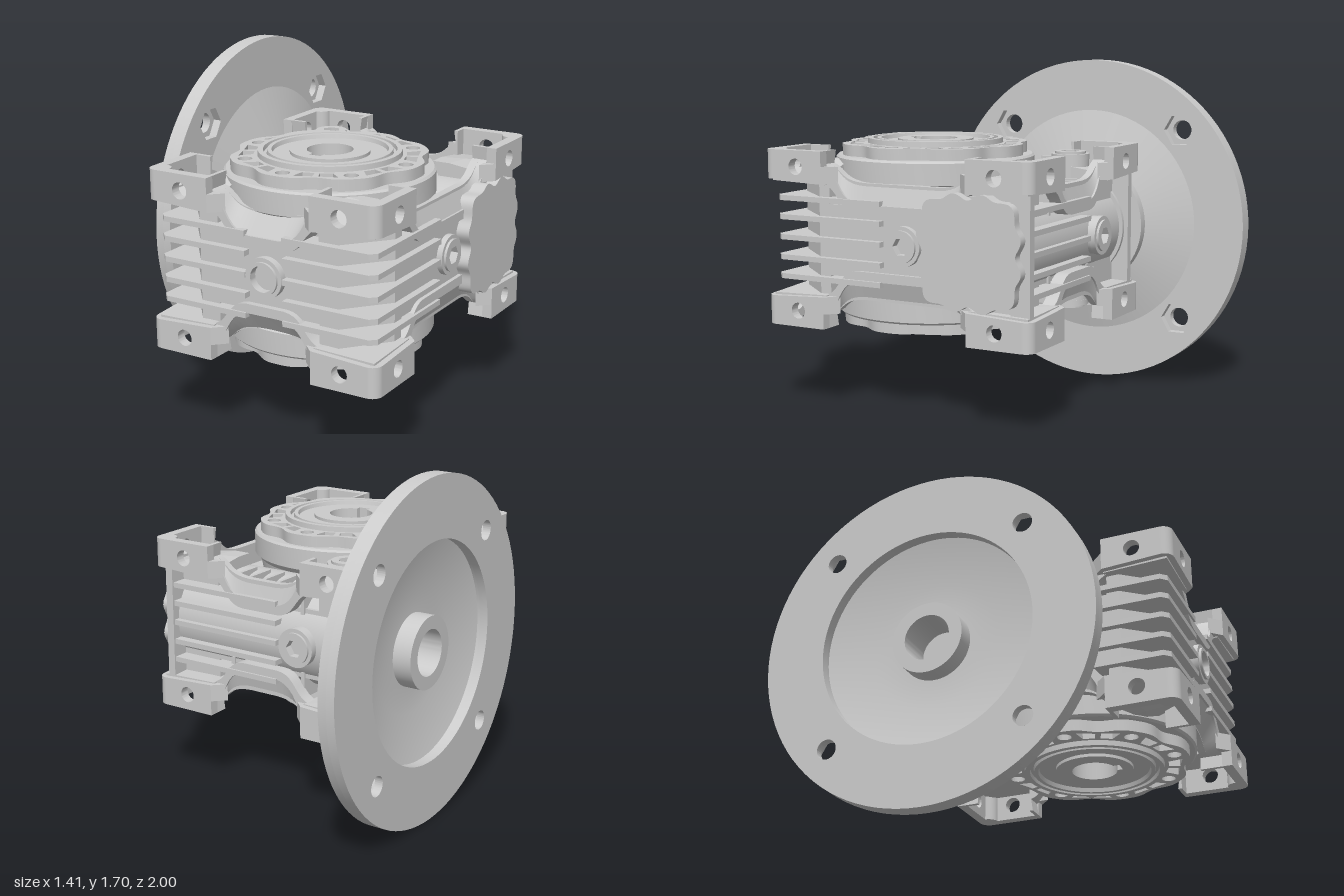
import * as THREE from 'three';
import { toCreasedNormals } from 'three/addons/utils/BufferGeometryUtils.js';
import { ConvexGeometry } from 'three/addons/geometries/ConvexGeometry.js';

const grey = new THREE.MeshStandardMaterial({ color: 0xcccccc });
const greyThin = new THREE.MeshStandardMaterial({ color: 0xcccccc, side: THREE.DoubleSide });
const V = (x, y, z) => new THREE.Vector3(x, y, z);
const poly = (pts) => new THREE.Shape(pts.map(([x, y]) => new THREE.Vector2(x, y)));
const circle = (x, y, r) => new THREE.Shape().absarc(x, y, r, 0, Math.PI * 2, false);
const hexagon = (x, y, r) => poly([0, 1, 2, 3, 4, 5].map((i) =>
  [x + r * Math.cos(i * Math.PI / 3), y + r * Math.sin(i * Math.PI / 3)]));
// closed outline from a radius rule
const wavy = (x, y, n, rule) => poly(Array.from({ length: n }, (_, i) => {
  const a = (i / n) * Math.PI * 2;
  return [x + rule(a) * Math.cos(a), y + rule(a) * Math.sin(a)];
}));
const bezier = (...p) =>
  new THREE.CubicBezierCurve(...p.map(([x, y]) => new THREE.Vector2(x, y))).getPoints(10).map((q) => [q.x, q.y]);

const extrude = (shape, depth) =>
  toCreasedNormals(new THREE.ExtrudeGeometry(shape, { depth, bevelEnabled: false, curveSegments: 20 }), 0.5);
// shape in (x, y), from z0 to z1
const alongZ = (shape, z0, z1) => extrude(shape, z1 - z0).translate(0, 0, z0);
// shape in (x, z), from y0 to y1
const alongY = (shape, y0, y1) => extrude(shape, y1 - y0).rotateX(Math.PI / 2).translate(0, y1, 0);
// shape in (z, y), from x0 to x1
const alongX = (shape, x0, x1) => extrude(shape, x1 - x0).rotateY(-Math.PI / 2).translate(x1, 0, 0);
const lathe = (pts) =>
  toCreasedNormals(new THREE.LatheGeometry(pts.map(([r, y]) => new THREE.Vector2(r, y)), 72), 0.5);

// Half of the dipping edge between two pads, from the pad to the flat middle
const dipEdge = (i, level) => bezier([i + 0.01, 0.37], [i - 0.06, 0.35], [i - 0.05, level + 0.005], [i - 0.19, level]);
const mirrored = (pts, sy) => {
  const half = pts.map(([x, y]) => [x, sy * y]);
  return [...half, ...half.map(([x, y]) => [-x, y]).reverse()];
};
// Dipped band whose upper edge has the given level in the middle
const dipBand = (i, sy, level) => poly(mirrored([
  ...bezier([i - 0.17, 0.14], [i - 0.06, 0.145], [i - 0.07, 0.25], [i + 0.02, 0.275]),
  [i + 0.02, 0.435], [i, 0.435], ...dipEdge(i, level)], sy));
// Sloping floor from the outer lip up to the inner web
const dipFloor = (i, sy, outer, inner, place) => {
  const low = mirrored(dipEdge(i, 0.183), sy);
  const high = mirrored(dipEdge(i, 0.285), sy);
  const pos = [];
  const index = [];
  low.forEach(([u, y], k) => {
    pos.push(...place(u, y, outer), ...place(high[k][0], high[k][1], inner));
    if (k) index.push(2 * k - 2, 2 * k - 1, 2 * k, 2 * k - 1, 2 * k + 1, 2 * k);
  });
  const g = new THREE.BufferGeometry();
  g.setAttribute('position', new THREE.Float32BufferAttribute(pos, 3));
  g.setIndex(index);
  g.computeVertexNormals();
  return g;
};

export function createModel() {
  const model = new THREE.Group();
  const box = new THREE.Group();
  box.name = 'gearbox';
  box.position.set(0.095, 0.85, 0.26);
  model.add(box);
  const add = (name, geometry, material = grey) => {
    const mesh = new THREE.Mesh(geometry, material);
    mesh.name = name;
    box.add(mesh);
    return mesh;
  };
  const WZ = -0.41; // worm axis
  const HZ = 0.125; // wheel axis

  // Housing core, open around the wheel
  const core = poly([[-0.37, 0.66], [0.37, 0.66], [0.54, 0.46], [0.54, -0.62], [-0.54, -0.62], [-0.54, 0.46]]);
  core.holes.push(circle(0, HZ, 0.4));
  add('housingCore', alongY(core, -0.175, 0.175));
  for (const s of [-1, 1]) {
    add('frontCornerColumn', alongY(poly([[s * 0.27, 0.66], [s * 0.37, 0.66], [s * 0.54, 0.46],
      [s * 0.54, 0.4], [s * 0.4, 0.4], [s * 0.27, 0.55]]), -0.28, 0.28));
    add('backCornerColumn', alongY(poly([[s * 0.3, -0.62], [s * 0.54, -0.62], [s * 0.54, -0.4], [s * 0.3, -0.4]]), -0.28, 0.28));
    add('backCornerPost', new THREE.BoxGeometry(0.04, 0.56, 0.1).translate(s * 0.54, 0, -0.66));
  }

  // Mounting pads: drilled walls with a rounded corner, joined by dipped bands
  const padWall = (s, U, sy) => {
    const i = U - 0.34;
    const shape = poly([[s * (U - 0.05), sy * 0.435], [s * i, sy * 0.435], [s * i, sy * 0.275], [s * (U - 0.05), sy * 0.29]]);
    shape.holes.push(circle(s * (U - 0.19), sy * 0.355, 0.04));
    return shape;
  };
  for (const sy of [-1, 1]) {
    const [low, high] = sy > 0 ? [0.275, 0.36] : [-0.36, -0.275];
    for (const s of [-1, 1]) {
      const range = (a, b) => (s > 0 ? [a, b] : [-b, -a]);
      const web = s > 0 ? 0.6 : 0.645; // the wheel sits closer to the front
      add('endLip', alongZ(dipBand(0.27, sy, 0.185), ...range(web, 0.69)));
      add('endWeb', alongZ(dipBand(0.27, sy, 0.285), ...range(web - 0.02, web + 0.015)));
      add('endDipFloor', dipFloor(0.27, sy, 0.68, web + 0.01, (u, y, d) => [u, y, s * d]), greyThin);
      add('sideLip', alongX(dipBand(0.4, sy, 0.185), ...range(0.48, 0.56)));
      add('sideWeb', alongX(dipBand(0.4, sy, 0.285), ...range(0.48, 0.52)));
      add('sideDipFloor', dipFloor(0.4, sy, 0.55, 0.515, (u, y, d) => [s * d, y, u]), greyThin);
      for (const t of [-1, 1]) {
        add('endPadWall', alongZ(padWall(t, 0.61, sy), ...range(0.69, 0.74)));
        add('sidePadWall', alongX(padWall(t, 0.74, sy), ...range(0.56, 0.61)));
        add('endPadFlank', alongY(poly([[t * 0.27, s * 0.74], [t * 0.27, s * 0.68], [t * 0.21, s * 0.68]]), low, high));
        add('sidePadFlank', alongY(poly([[s * 0.61, t * 0.4], [s * 0.55, t * 0.4], [s * 0.55, t * 0.34]]), low, high));
        add('padCorner', new THREE.CylinderGeometry(0.05, 0.05, 0.145, 24).translate(s * 0.56, sy * 0.3625, t * 0.69));
        // sloping floor, given as inward x, height, inward z
        const peak = t > 0 ? 0.38 : 0.33;
        const floor = [[0.03, 0.28, 0.03], [0.34, 0.27, 0.03], [0.03, 0.27, 0.34], [0.34, 0.27, 0.34],
          [0.03, 0.3, 0.03], [0.34, 0.3, 0.03], [0.03, 0.3, 0.34], [0.22, peak, 0.22], [0.34, peak, 0.25],
          [0.25, peak, 0.34], [0.34, peak, 0.34]];
        add('padFloor', new ConvexGeometry(floor.map(([a, y, b]) => V(s * (0.61 - a), sy * y, t * (0.74 - b)))));
      }
    }
  }

  // Cooling fins
  for (const y of [-0.195, -0.1, 0, 0.1, 0.195]) {
    for (const s of [-1, 1]) {
      add('wrapFin', alongY(poly([[s * 0.1, 0.7], [s * 0.545, 0.7], [s * 0.575, 0.67], [s * 0.575, 0.09],
        [s * 0.5, 0.09], [s * 0.5, 0.4], [s * 0.3, 0.6], [s * 0.1, 0.6]]), y - 0.013, y + 0.013));
    }
    add('backFin', new THREE.BoxGeometry(0.64, 0.026, 0.12).translate(0.22, y, -0.64));
  }
  for (const x of [-0.21, -0.13, -0.045, 0.04, 0.125, 0.21]) {
    for (const s of [-1, 1]) {
      add('wormRib', new THREE.BoxGeometry(0.02, 0.13, 0.2).translate(x, s * 0.21, -0.53));
    }
  }

  // Worm housing and scalloped end cover
  add('wormHousing', new THREE.CylinderGeometry(0.26, 0.26, 1.14, 64).rotateZ(Math.PI / 2).translate(-0.02, 0, WZ));
  add('endCover', alongX(wavy(WZ, 0, 144, (a) => 0.285 - 0.025 * Math.cos(4 * a) - 0.013 * Math.cos(12 * a)), 0.53, 0.605));

  // Wheel hub with a keyed bore
  const hub = [[0.185, 0.455], [0.27, 0.455], [0.275, 0.475], [0.295, 0.475], [0.298, 0.455], [0.312, 0.455],
    [0.315, 0.475], [0.34, 0.475], [0.345, 0.395], [0.49, 0.395], [0.5, 0.385], [0.5, 0.28], [0.47, 0.25], [0.45, 0.15]];
  add('wheelHub', lathe([...hub.map(([r, y]) => [r, -y]), ...hub.slice().reverse()])).position.z = HZ;
  const sleeve = circle(0, 0, 0.19);
  const bore = new THREE.Path();
  bore.absarc(0, 0, 0.11, Math.PI / 2 + 0.276, Math.PI * 2.5 - 0.276, false);
  bore.lineTo(0.03, 0.135);
  bore.lineTo(-0.03, 0.135);
  bore.closePath();
  sleeve.holes.push(bore);
  add('keyedSleeve', alongY(sleeve, -0.47, 0.47)).position.z = HZ;

  // Bolt rings with holes and pockets
  const ring = wavy(0, 0, 160, (a) => 0.457 + 0.018 * Math.cos(8 * a) - 0.005 * Math.cos(16 * a));
  ring.holes.push(circle(0, 0, 0.335));
  for (let k = 0; k < 8; k++) {
    const a = k * Math.PI / 4;
    ring.holes.push(circle(0.405 * Math.cos(a), 0.405 * Math.sin(a), 0.034));
    for (const t of [-1, 1]) {
      const corners = [[0.36, 0.2], [0.36, 0.36], [0.415, 0.36], [0.43, 0.15]];
      ring.holes.push(poly(corners.map(([r, b]) => [r * Math.cos(a + t * b), r * Math.sin(a + t * b)])));
    }
  }
  add('topBoltRing', alongY(ring, 0.39, 0.45)).position.z = HZ;
  add('bottomBoltRing', alongY(ring, -0.45, -0.39)).position.z = HZ;

  // Screw plugs: boss, washer and socket head, pointing along a direction
  const plug = (name, tip, dir, opening) => {
    const head = circle(0, 0, 0.078);
    head.holes.push(opening);
    const rim = circle(0, 0, 0.097);
    rim.holes.push(circle(0, 0, 0.07));
    const g = new THREE.Group();
    g.name = name;
    g.add(new THREE.Mesh(new THREE.CylinderGeometry(0.095, 0.095, 0.14, 40).rotateX(Math.PI / 2).translate(0, 0, -0.11), grey));
    g.add(new THREE.Mesh(alongZ(rim, -0.04, -0.012), grey));
    g.add(new THREE.Mesh(alongZ(head, -0.04, 0), grey));
    g.position.copy(tip);
    g.quaternion.setFromUnitVectors(V(0, 0, 1), dir);
    box.add(g);
  };
  plug('frontPort', V(0, 0, 0.71), V(0, 0, 1), circle(0, 0, 0.062));
  plug('rightPlug', V(0.58, 0, -0.03), V(1, 0, 0), hexagon(0, 0, 0.045));
  plug('leftPlug', V(-0.565, 0, -0.03), V(-1, 0, 0), hexagon(0, 0, 0.045));
  plug('backPlug', V(-0.22, 0, -0.72), V(0, 0, -1), hexagon(0, 0, 0.045));
  plug('topPlug', V(-0.355, 0.4, -0.46), V(0, 1, 0), hexagon(0, 0, 0.045));
  plug('bottomPlug', V(-0.355, -0.4, -0.46), V(0, -1, 0), hexagon(0, 0, 0.045));

  // Motor flange: round holes outside, hexagon pockets inside, conical neck and hub
  const disc = (hole) => {
    const shape = new THREE.Shape().absarc(WZ, 0, 0.85, 0, Math.PI * 2, false);
    shape.holes.push(circle(WZ, 0, 0.545));
    for (const a of [-1, 1]) for (const b of [-1, 1]) shape.holes.push(hole(WZ + a * 0.495, b * 0.495));
    return toCreasedNormals(new THREE.ExtrudeGeometry(shape, { depth: 0.0425, bevelEnabled: false, curveSegments: 48 })
      .rotateY(-Math.PI / 2), 0.5);
  };
  add('flangeOuter', disc((z, y) => circle(z, y, 0.05)).translate(-0.7625, 0, 0));
  add('flangeInner', disc((z, y) => hexagon(z, y, 0.085)).translate(-0.72, 0, 0));
  add('flangeNeck', lathe([[0.115, -0.785], [0.18, -0.785], [0.18, -0.69], [0.32, -0.69], [0.55, -0.75], [0.59, -0.721],
    [0.34, -0.65], [0.34, -0.6], [0.28, -0.6], [0.28, -0.5], [0.115, -0.5], [0.115, -0.785]])
    .rotateZ(-Math.PI / 2).translate(0, 0, WZ));
  return model;
}
